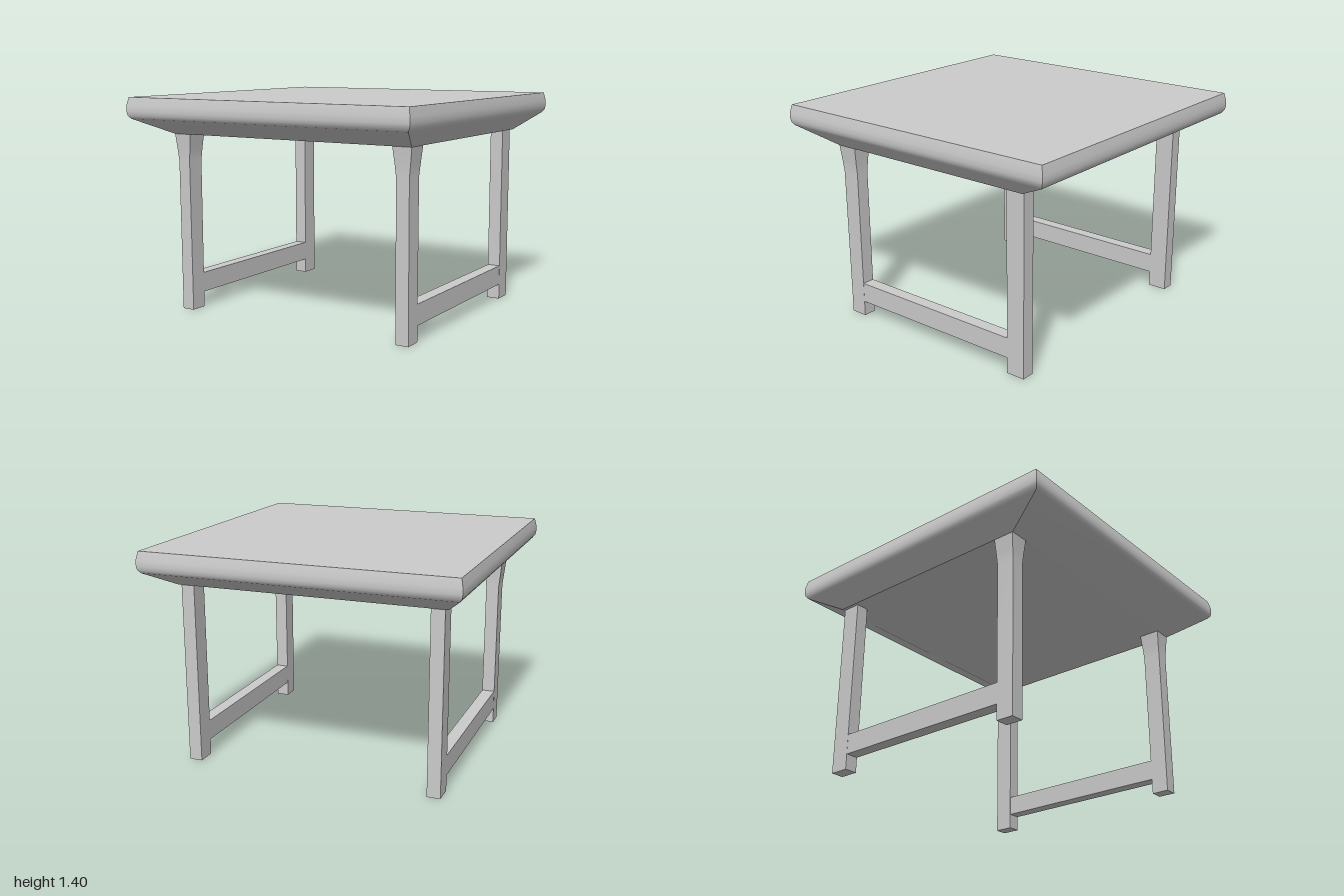
import * as THREE from 'three';

const material = new THREE.MeshStandardMaterial({ color: 0xcccccc });

// Lofts rectangular sections [y, x0, x1, z0, z1], bottom to top.
// Each side is its own smooth strip, so the upright corners stay sharp.
function loft(sections, name) {
  const positions = [], index = [];
  const corners = ([y, x0, x1, z0, z1]) => [[x0, y, z1], [x1, y, z1], [x1, y, z0], [x0, y, z0]];
  const rings = sections.map(corners);
  for (let side = 0; side < 4; side++) {
    const base = positions.length / 3;
    rings.forEach((ring) => positions.push(...ring[side], ...ring[(side + 1) % 4]));
    for (let i = 0; i < rings.length - 1; i++) {
      const a = base + i * 2;
      index.push(a, a + 1, a + 3, a, a + 3, a + 2);
    }
  }
  // Flat end caps
  const cap = (ring) => {
    const a = positions.length / 3;
    ring.forEach((p) => positions.push(...p));
    index.push(a, a + 1, a + 2, a, a + 2, a + 3);
  };
  cap(rings[rings.length - 1]);
  cap([...rings[0]].reverse());
  const geometry = new THREE.BufferGeometry();
  geometry.setAttribute('position', new THREE.Float32BufferAttribute(positions, 3));
  geometry.setIndex(index);
  geometry.computeVertexNormals();
  const mesh = new THREE.Mesh(geometry, material);
  mesh.name = name;
  return mesh;
}

export function createModel() {
  const group = new THREE.Group();
  group.name = 'table';

  // Slab with a bulging rim and an underside that tapers inward
  group.add(loft([
    [1.157, -0.86, 0.86, -0.76, 0.71],
    [1.265, -0.98, 0.98, -0.98, 0.98],
    [1.285, -0.995, 0.995, -0.995, 0.995],
    [1.31, -1, 1, -1, 1],
    [1.345, -1, 1, -1, 1],
    [1.4, -0.988, 0.988, -0.988, 0.988],
  ], 'tableTop'));

  for (const side of [1, -1]) {
    const label = side > 0 ? 'left' : 'right';
    const span = (inner, outer) => (side > 0 ? [inner, outer] : [-outer, -inner]);

    // Front legs flare where they meet the slab
    group.add(loft([
      [0, ...span(0.755, 0.84), 0.58, 0.692],
      [0.98, ...span(0.755, 0.84), 0.58, 0.698],
      [1.06, ...span(0.747, 0.849), 0.577, 0.702],
      [1.16, ...span(0.735, 0.86), 0.57, 0.71],
    ], label + 'FrontLeg'));

    // Straight back legs
    group.add(loft([
      [0, ...span(0.755, 0.84), -0.756, -0.632],
      [1.16, ...span(0.755, 0.84), -0.756, -0.632],
    ], label + 'BackLeg'));

    // Low rail joining the front and back legs
    group.add(loft([
      [0.1, ...span(0.756, 0.839), -0.64, 0.59],
      [0.23, ...span(0.756, 0.839), -0.64, 0.59],
    ], label + 'Stretcher'));
  }
  return group;
}
